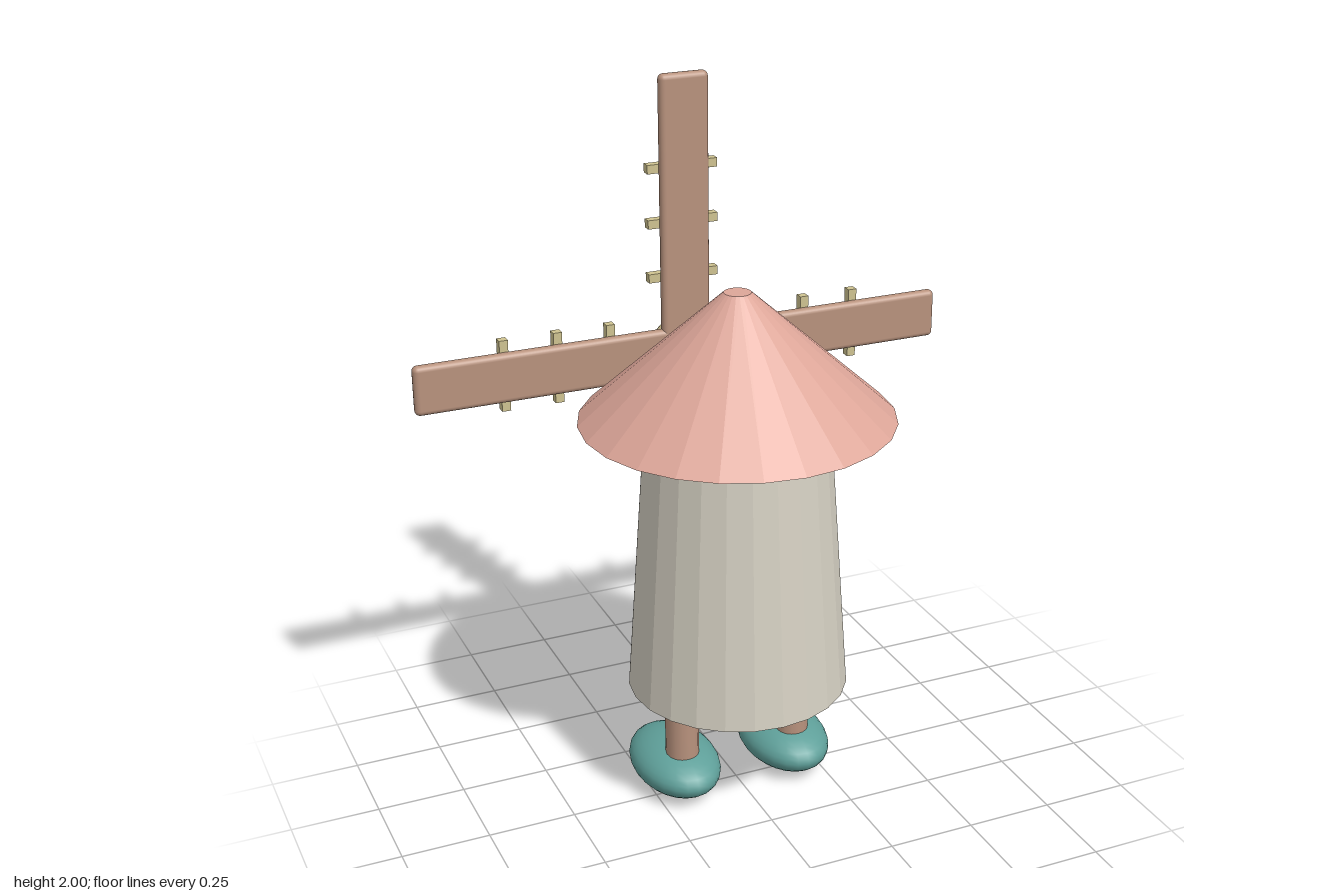
import * as THREE from 'three';
import { RoundedBoxGeometry } from 'three/addons/geometries/RoundedBoxGeometry.js';

const material = (name, color, flatShading = false) => {
  const m = new THREE.MeshStandardMaterial({ color, flatShading });
  m.name = name;
  return m;
};

export function createModel() {
  const cream = material('cream plaster', 0xd6d1c3, true);
  const pink = material('pink roof', 0xdda699, true);
  const wood = material('brown wood', 0xb8927d);
  const teal = material('teal', 0x5fa09a);
  const straw = material('straw yellow', 0xcfc391);
  const white = material('eye white', 0xe4ddd3);

  const model = new THREE.Group();
  model.name = 'windmillCharacter';
  const add = (parent, name, geometry, mat, x, y, z) => {
    const mesh = new THREE.Mesh(geometry, mat);
    mesh.name = name;
    mesh.position.set(x, y, z);
    parent.add(mesh);
    return mesh;
  };
  const ellipsoid = (rx, ry, rz) => new THREE.SphereGeometry(1, 24, 16).scale(rx, ry, rz);

  // Tapered tower and conical roof
  const axisZ = 0.01;
  add(model, 'tower', new THREE.CylinderGeometry(0.252, 0.31, 0.81, 24), cream, 0, 0.75, axisZ);
  add(model, 'roof', new THREE.CylinderGeometry(0.037, 0.432, 0.355, 24), pink, 0, 1.3175, axisZ);

  // Legs, feet and face, mirrored; the face looks towards -z
  for (const side of [-1, 1]) {
    const label = side > 0 ? 'left' : 'right';
    add(model, label + 'Leg', new THREE.CylinderGeometry(0.048, 0.048, 0.3, 16), wood, side * 0.172, 0.24, axisZ);
    add(model, label + 'Foot', ellipsoid(0.122, 0.073, 0.185), teal, side * 0.172, 0.075, -0.05);
    add(model, label + 'Eye', ellipsoid(0.058, 0.083, 0.033), white, side * 0.12, 0.928, -0.267);
    add(model, label + 'Pupil', ellipsoid(0.026, 0.035, 0.012), teal, side * 0.12, 0.928, -0.294);
    const brow = add(model, label + 'Eyebrow', new THREE.CapsuleGeometry(0.014, 0.11, 4, 10), teal,
      side * 0.12, 1.045, -0.282);
    brow.rotation.z = Math.PI / 2 - side * 0.25;
  }

  // Sails: two crossed boards with rungs on the outer face
  const sails = new THREE.Group();
  sails.name = 'sails';
  sails.position.set(0, 1.21, -0.352);
  model.add(sails);
  for (const [name, angle] of [['horizontalSail', 0], ['verticalSail', Math.PI / 2]]) {
    const sail = new THREE.Group();
    sail.name = name;
    sail.rotation.z = angle;
    sails.add(sail);
    add(sail, 'board', new RoundedBoxGeometry(1.58, 0.142, 0.034, 3, 0.015), wood, 0, 0, 0);
    for (const side of [-1, 1]) {
      for (const d of [0.22, 0.375, 0.53]) {
        add(sail, 'rung', new THREE.BoxGeometry(0.025, 0.206, 0.026), straw, side * d, 0, -0.021);
      }
    }
  }
  add(sails, 'hub', ellipsoid(0.09, 0.09, 0.062), straw, 0, 0, -0.032);

  return model;
}
